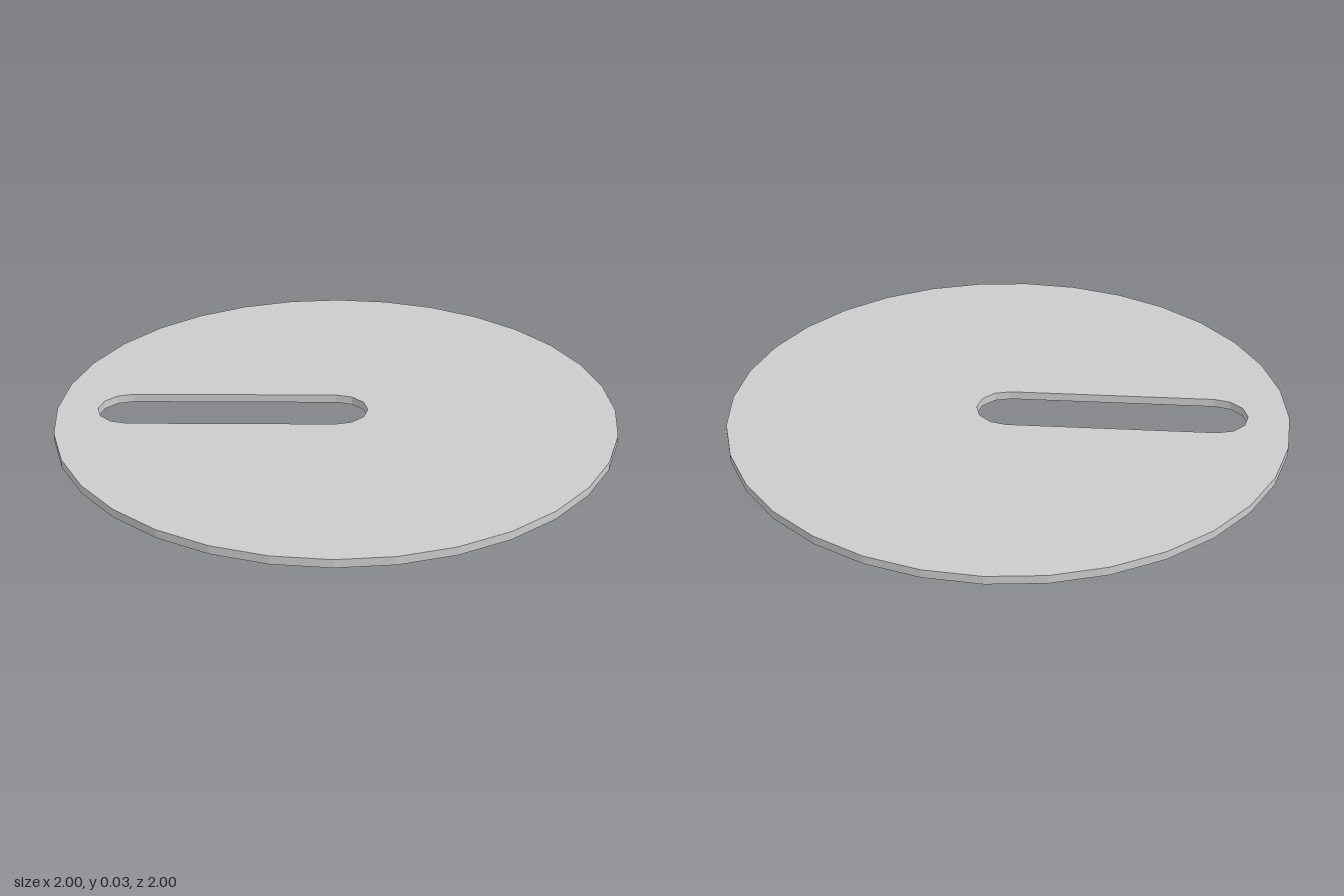
import * as THREE from 'three';

const HEIGHT = 0.03;
const RIM_SIDES = 32;
const CAP_STEPS = 6;
const SLOT = { x0: -0.74, x1: 0, radius: 0.114 };

// Points along an arc, both ends included
function arc(cx, radius, start, sweep, steps) {
  return Array.from({ length: steps + 1 }, (_, i) => {
    const a = start + (sweep * i) / steps;
    return new THREE.Vector2(cx + radius * Math.cos(a), radius * Math.sin(a));
  });
}

export function createModel() {
  const group = new THREE.Group();
  group.name = 'slottedDisc';

  // Round plate outline
  const outline = new THREE.Shape(arc(0, 1, 0, Math.PI * 2, RIM_SIDES).slice(0, -1));

  // Round-ended slot running from the centre towards the rim
  outline.holes.push(new THREE.Path([
    ...arc(SLOT.x1, SLOT.radius, -Math.PI / 2, Math.PI, CAP_STEPS),
    ...arc(SLOT.x0, SLOT.radius, Math.PI / 2, Math.PI, CAP_STEPS),
  ]));

  // Thin plate, laid flat on the ground
  const geometry = new THREE.ExtrudeGeometry(outline, { depth: HEIGHT, bevelEnabled: false });
  geometry.rotateX(-Math.PI / 2);

  const plate = new THREE.Mesh(
    geometry,
    new THREE.MeshStandardMaterial({ color: 0xcccccc, flatShading: true })
  );
  plate.name = 'plate';
  group.add(plate);
  return group;
}
